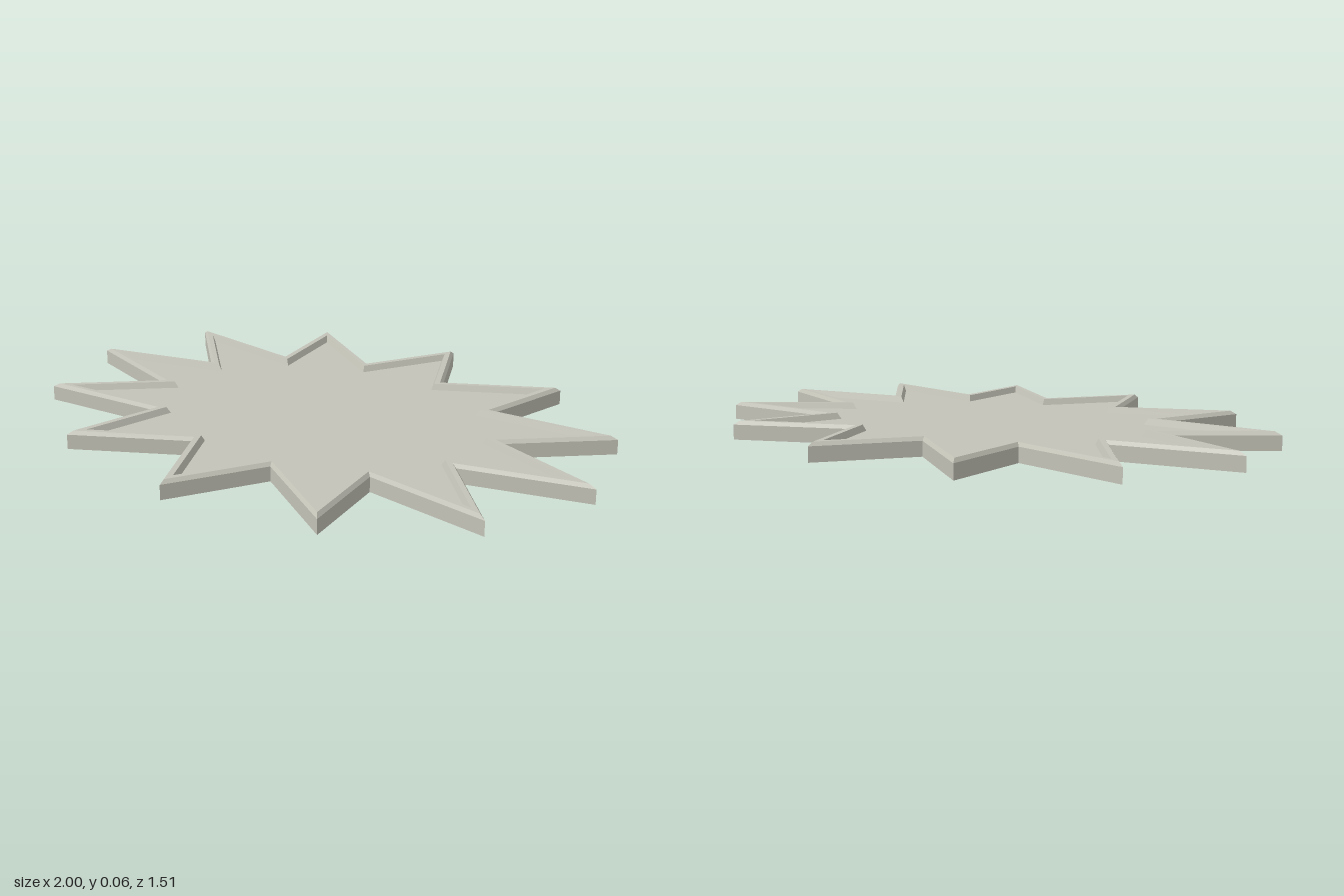
import * as THREE from 'three';

const POINTS = 12, RX = 1, RZ = 0.755, VALLEY = 0.62;

// Star outline at a given scale and height
function starRing(scale, y) {
  return Array.from({ length: POINTS * 2 }, (_, i) => {
    const a = (i * Math.PI) / POINTS;
    const r = scale * (i % 2 ? VALLEY : 1);
    return [Math.cos(a) * r * RX, y, Math.sin(a) * r * RZ];
  });
}

// Joins successive [scale, height] rings into faceted bands
function starBands(profile) {
  const rings = profile.map(([s, y]) => starRing(s, y));
  const pos = [];
  for (let k = 0; k < rings.length - 1; k++) {
    const lo = rings[k], hi = rings[k + 1];
    for (let i = 0; i < lo.length; i++) {
      const j = (i + 1) % lo.length;
      pos.push(...lo[i], ...hi[i], ...hi[j], ...lo[i], ...hi[j], ...lo[j]);
    }
  }
  const geo = new THREE.BufferGeometry();
  geo.setAttribute('position', new THREE.Float32BufferAttribute(pos, 3));
  geo.computeVertexNormals();
  return geo;
}

// Flat star plate facing up or down
function starPlate(scale, y, up) {
  const shape = new THREE.Shape(starRing(scale, 0).map(([x, , z]) => new THREE.Vector2(x, z)));
  const geo = new THREE.ShapeGeometry(shape);
  geo.rotateX(up ? -Math.PI / 2 : Math.PI / 2);
  geo.translate(0, y, 0);
  return geo;
}

export function createModel() {
  const group = new THREE.Group();
  const stone = new THREE.MeshStandardMaterial({ color: 0xc4c3b8, flatShading: true });
  stone.name = 'warm grey';

  const add = (name, geo) => {
    const mesh = new THREE.Mesh(geo, stone);
    mesh.name = name;
    group.add(mesh);
  };

  // Side wall, outer bevel, raised rim and slope down to the recess
  add('rim', starBands([[1, 0], [1, 0.048], [0.975, 0.06], [0.925, 0.06], [0.9, 0.04]]));
  add('recessedPanel', starPlate(0.9, 0.04, true));
  add('underside', starPlate(1, 0, false));
  return group;
}
